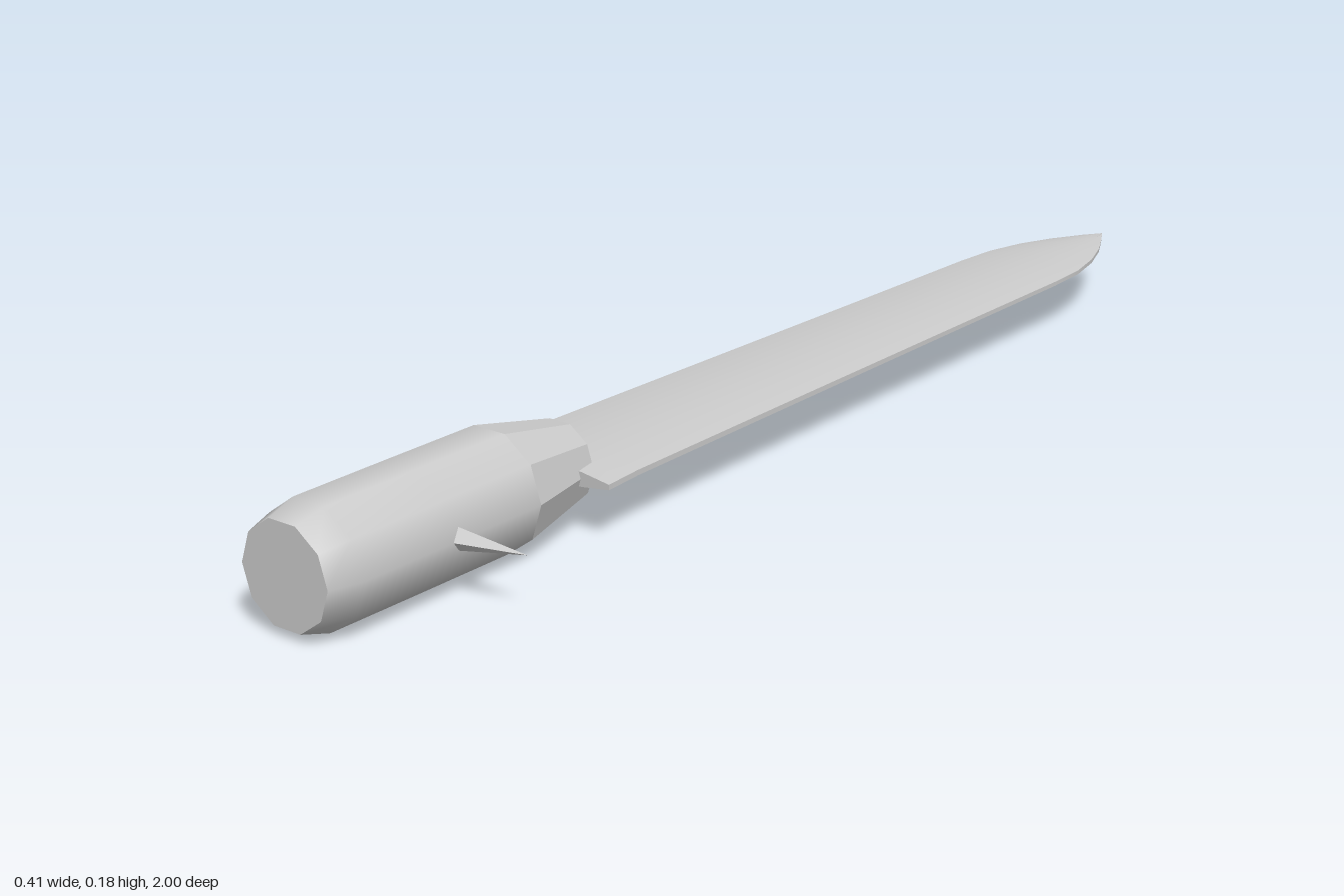
import * as THREE from 'three';
import { toCreasedNormals } from 'three/addons/utils/BufferGeometryUtils.js';

const AXIS_Y = 0.091; // height of the long axis

// Ten-sided turned piece along z, from [radius, z] pairs
function turned(profile, flat) {
  const points = profile.map(([r, z]) => new THREE.Vector2(r, z));
  let geometry = new THREE.LatheGeometry(points, 10, Math.PI / 2);
  geometry.rotateX(Math.PI / 2);
  if (flat) {
    geometry = geometry.toNonIndexed();
    geometry.computeVertexNormals();
  }
  return geometry;
}

// Lens-shaped blade lofted through [z, half width, half thickness] stations
function bladeGeometry() {
  const stations = [
    [0.49, 0.125, 0.014], [0.42, 0.119, 0.014], [0, 0.11, 0.0135],
    [-0.4, 0.102, 0.0125], [-0.7, 0.097, 0.012], [-0.78, 0.092, 0.0115],
    [-0.85, 0.075, 0.011], [-0.91, 0.051, 0.009], [-0.96, 0.024, 0.006], [-1, 0.0005, 0.001],
  ];
  // Cross-section, anticlockwise seen from the front: bottom then top
  const section = [
    [-1, -0.3], [-0.6, -0.8], [0, -1], [0.6, -0.8], [1, -0.3],
    [1, 0.3], [0.6, 0.8], [0, 1], [-0.6, 0.8], [-1, 0.3],
  ];
  const n = section.length;
  const positions = [];
  const index = [];
  for (const [z, w, t] of stations) {
    for (const [sx, sy] of section) positions.push(sx * w, sy * t, z);
  }
  for (let s = 0; s < stations.length - 1; s++) {
    for (let i = 0; i < n; i++) {
      const a = s * n + i;
      const b = s * n + ((i + 1) % n);
      index.push(a, a + n, b, b, a + n, b + n);
    }
  }
  // End caps
  const last = (stations.length - 1) * n;
  for (let i = 1; i < n - 1; i++) {
    index.push(0, i, i + 1);
    index.push(last, last + i + 1, last + i);
  }
  const geometry = new THREE.BufferGeometry();
  geometry.setAttribute('position', new THREE.Float32BufferAttribute(positions, 3));
  geometry.setIndex(index);
  return toCreasedNormals(geometry, 0.5);
}

// Four-sided spike pointing along +x, its tip swept back
function spikeGeometry(side) {
  const length = 0.133;
  const cone = new THREE.ConeGeometry(0.0205, length, 4);
  cone.rotateZ(-Math.PI / 2 * side);
  const p = cone.attributes.position;
  for (let i = 0; i < p.count; i++) {
    const along = p.getX(i) * side + length / 2;
    p.setZ(i, p.getZ(i) - 0.017 * along / length);
  }
  const flat = cone.toNonIndexed();
  flat.computeVertexNormals();
  return flat;
}

export function createModel() {
  const group = new THREE.Group();
  const grey = new THREE.MeshStandardMaterial({ color: 0xcccccc });
  grey.name = 'light grey';

  function add(name, geometry, x = 0, z = 0) {
    const mesh = new THREE.Mesh(geometry, grey);
    mesh.name = name;
    mesh.position.set(x, AXIS_Y, z);
    group.add(mesh);
  }

  // Handle: smooth grip, faceted collar towards the blade, flat pommel face
  add('grip', turned([[0.0955, 0.6], [0.0957, 0.78], [0.0955, 0.95], [0.081, 1]], false));
  add('collar', turned([[0, 0.452], [0.064, 0.452], [0.0955, 0.6]], true));
  add('pommelFace', turned([[0.081, 1], [0, 1]], true));

  add('blade', bladeGeometry());

  // Guard spikes on both sides
  for (const side of [1, -1]) {
    add(side > 0 ? 'leftSpike' : 'rightSpike', spikeGeometry(side), side * 0.1365, 0.764);
  }
  return group;
}
